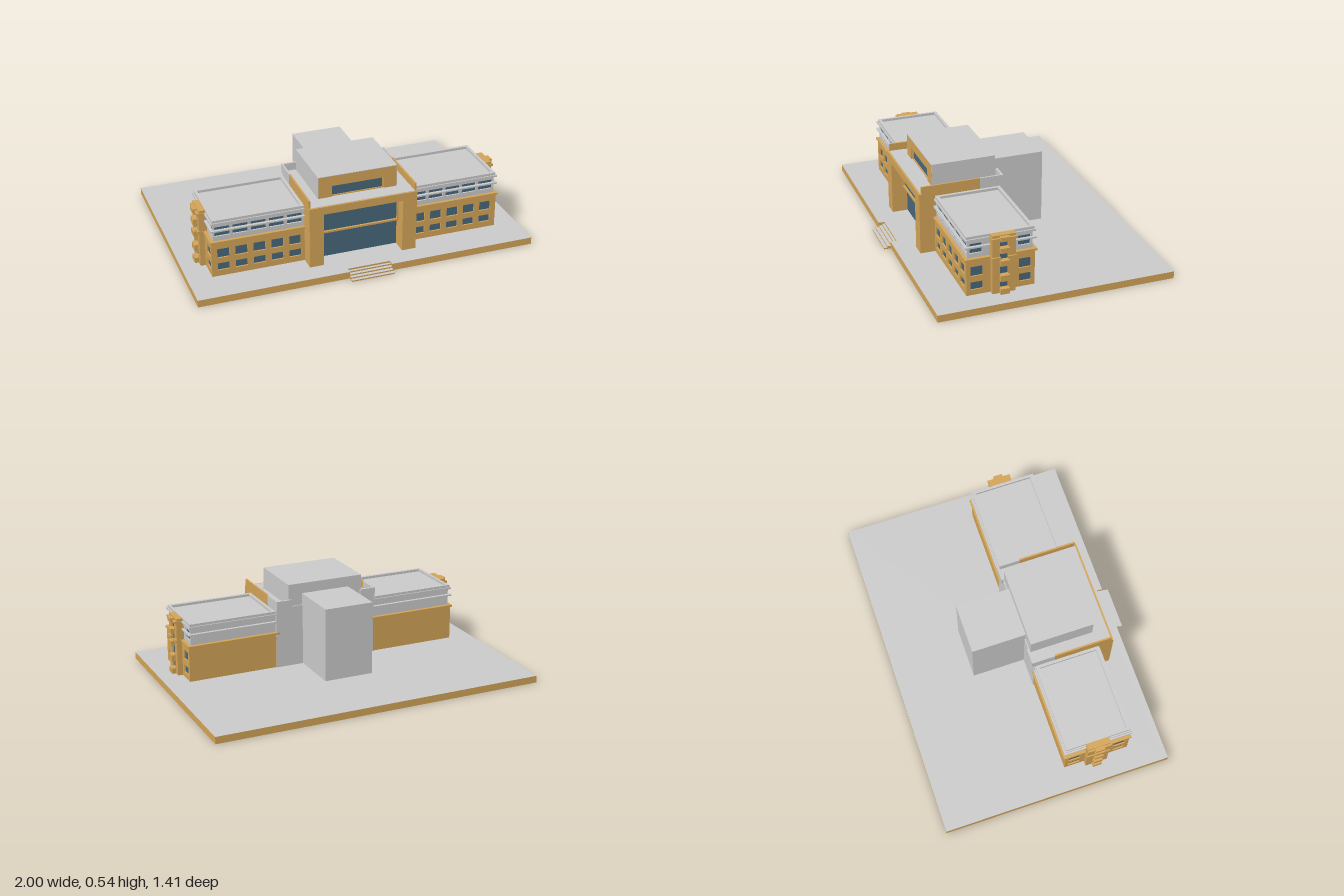
import * as THREE from 'three';

const grey = new THREE.MeshStandardMaterial({ color: 0xcccccc });
const brown = new THREE.MeshStandardMaterial({ color: 0xd4a558 });
const glass = new THREE.MeshStandardMaterial({ color: 0x48687c });

// Box given by its limits on each axis
function box(parent, name, mat, x0, x1, y0, y1, z0, z1) {
  const mesh = new THREE.Mesh(new THREE.BoxGeometry(x1 - x0, y1 - y0, z1 - z0), mat);
  mesh.position.set((x0 + x1) / 2, (y0 + y1) / 2, (z0 + z1) / 2);
  mesh.name = name;
  parent.add(mesh);
  return mesh;
}

function rectPoints([x0, x1, y0, y1]) {
  return [[x0, y0], [x1, y0], [x1, y1], [x0, y1]].map(p => new THREE.Vector2(...p));
}

// Flat panel with rectangular holes, extruded along z
function panel(parent, name, mat, outline, holes, depth) {
  const shape = new THREE.Shape(rectPoints(outline));
  for (const h of holes) shape.holes.push(new THREE.Path(rectPoints(h)));
  const mesh = new THREE.Mesh(new THREE.ExtrudeGeometry(shape, { depth, bevelEnabled: false }), mat);
  mesh.name = name;
  parent.add(mesh);
  return mesh;
}

// Faces: +x, -x, top, bottom, +z, -z
const slabFaces = [brown, brown, grey, brown, brown, brown];
const G = 0.042; // ground level on the plinth

function buildPlinth(root) {
  const plinth = new THREE.Group();
  plinth.name = 'plinth';
  root.add(plinth);
  box(plinth, 'slab', slabFaces, -1, 1, 0, G, -0.71, 0.63);
  box(plinth, 'slabFrontLeft', slabFaces, 0.127, 1, 0, G, 0.63, 0.665);
  box(plinth, 'slabFrontRight', slabFaces, -1, -0.127, 0, G, 0.63, 0.665);
  // Entrance steps, cut into the front edge
  for (let i = 0; i < 4; i++)
    box(plinth, 'step', slabFaces, -0.127, 0.127, 0, 0.008 * (i + 1), 0.63, 0.705 - i * 0.02);
}

// One wing on the +x side
function buildWing(side) {
  const wing = new THREE.Group();
  wing.name = side + 'Wing';
  box(wing, 'lowerStoreys', brown, 0.3, 0.85, G, 0.25, 0.065, 0.445);
  box(wing, 'upperStorey', grey, 0.3, 0.835, 0.25, 0.375, 0.075, 0.435);
  box(wing, 'stringCourse', brown, 0.3, 0.866, 0.249, 0.261, 0.053, 0.465);

  // Front window walls with glass set behind the openings
  const low = [], high = [];
  for (let i = 0; i < 5; i++) {
    const x = 0.376 + i * 0.104;
    low.push([x - 0.035, x + 0.035, 0.078, 0.122], [x - 0.035, x + 0.035, 0.156, 0.212]);
    high.push([x - 0.044, x + 0.044, 0.288, 0.345]);
  }
  panel(wing, 'lowerFrontWall', brown, [0.32, 0.86, G, 0.25], low, 0.01).position.z = 0.447;
  panel(wing, 'upperFrontWall', grey, [0.32, 0.845, 0.26, 0.375], high, 0.01).position.z = 0.437;
  box(wing, 'lowerFrontGlass', glass, 0.33, 0.84, 0.07, 0.22, 0.44, 0.448);
  box(wing, 'upperFrontGlass', glass, 0.325, 0.84, 0.28, 0.35, 0.43, 0.438);

  // End wall windows: the panel's own x runs along -z
  const endLow = [], endHigh = [];
  for (const z of [0.398, 0.122]) {
    const w = [-z - 0.035, -z + 0.035];
    endLow.push([...w, 0.074, 0.12], [...w, 0.156, 0.213]);
    endHigh.push([...w, 0.286, 0.344]);
  }
  const ends = [
    [panel(wing, 'lowerEndWall', brown, [-0.457, -0.065, G, 0.25], endLow, 0.01), 0.85],
    [panel(wing, 'upperEndWall', grey, [-0.447, -0.075, 0.26, 0.375], endHigh, 0.01), 0.835],
  ];
  for (const [wall, x] of ends) {
    wall.rotation.y = Math.PI / 2;
    wall.position.x = x;
  }
  for (const [z0, z1] of [[0.36, 0.436], [0.084, 0.16]]) {
    box(wing, 'lowerEndGlass', glass, 0.84, 0.852, 0.07, 0.22, z0, z1);
    box(wing, 'upperEndGlass', glass, 0.825, 0.837, 0.28, 0.35, z0, z1);
  }

  // Sunshade, cornice and roof parapet
  box(wing, 'frontSunshade', grey, 0.32, 0.86, 0.321, 0.33, 0.445, 0.463);
  box(wing, 'backSunshade', grey, 0.32, 0.86, 0.321, 0.33, 0.056, 0.076);
  box(wing, 'endSunshade', grey, 0.843, 0.86, 0.321, 0.33, 0.056, 0.463);
  box(wing, 'cornice', grey, 0.31, 0.858, 0.364, 0.375, 0.06, 0.46);
  const parapet = panel(wing, 'parapet', grey, [0.32, 0.85, -0.453, -0.067],
    [[0.338, 0.834, -0.433, -0.085]], 0.016);
  parapet.rotation.x = -Math.PI / 2;
  parapet.position.y = 0.374;

  // Stair tower on the end wall
  const tower = new THREE.Group();
  tower.name = 'stairTower';
  wing.add(tower);
  for (const [z0, z1] of [[0.187, 0.23], [0.276, 0.32]]) {
    box(tower, 'pier', brown, 0.84, 0.89, G, 0.368, z0, z1);
    box(tower, 'pierBand', brown, 0.84, 0.898, 0.245, 0.262, z0 - 0.002, z1 + 0.002);
  }
  box(tower, 'stairGlass', glass, 0.84, 0.88, G, 0.37, 0.23, 0.276);
  for (const [y0, y1] of [[G, 0.074], [0.12, 0.156], [0.213, 0.245], [0.29, 0.32]])
    box(tower, 'spandrel', brown, 0.85, 0.912, y0, y1, 0.226, 0.28);
  box(tower, 'cap', brown, 0.845, 0.9, 0.362, 0.376, 0.183, 0.324);
  box(tower, 'capTop', brown, 0.845, 0.888, 0.376, 0.39, 0.187, 0.32);
  box(tower, 'capKey', brown, 0.85, 0.912, 0.36, 0.385, 0.226, 0.28);
  return wing;
}

function buildCentre(root) {
  const centre = new THREE.Group();
  centre.name = 'centralBlock';
  root.add(centre);
  box(centre, 'rearBody', grey, -0.318, 0.318, G, 0.41, 0.058, 0.186);
  box(centre, 'frontBody', [brown, brown, grey, brown, brown, grey], -0.32, 0.32, G, 0.41, 0.185, 0.447);

  // Portal: two piers, lintel and roof over the recess
  for (const s of [-1, 1])
    box(centre, 'portalPier', brown, s * 0.278 - 0.042, s * 0.278 + 0.042, G, 0.41, 0.447, 0.545);
  box(centre, 'lintel', slabFaces, -0.236, 0.236, 0.364, 0.406, 0.447, 0.535);
  box(centre, 'lintelEdge', brown, -0.236, 0.236, 0.364, 0.41, 0.535, 0.545);
  box(centre, 'portalRoof', grey, -0.31, 0.31, 0.405, 0.411, 0.44, 0.534);

  // Entrance glazing with the framed window box above it
  box(centre, 'entranceGlass', glass, -0.236, 0.236, G, 0.212, 0.446, 0.453);
  panel(centre, 'greatWindowFrame', brown, [-0.236, 0.236, 0.205, 0.365],
    [[-0.224, 0.228, 0.216, 0.357]], 0.033).position.z = 0.447;
  box(centre, 'greatWindowGlass', glass, -0.226, 0.23, 0.214, 0.36, 0.447, 0.468);

  // Roof parapets
  for (const s of [-1, 1]) {
    const x = s * 0.315;
    box(centre, 'frontParapet', brown, x - 0.005, x + 0.005, 0.405, 0.455, 0.185, 0.532);
    box(centre, 'rearParapet', grey, x - 0.005, x + 0.005, 0.4, 0.455, 0.045, 0.185);
    box(centre, 'backParapet', grey, s * 0.27 - 0.045, s * 0.27 + 0.045, 0.4, 0.455, 0.045, 0.058);
  }

  // Penthouse with a brown front and a long window
  box(centre, 'penthouse', grey, -0.236, 0.236, 0.4, 0.542, 0.065, 0.425);
  panel(centre, 'penthouseEdge', grey, [-0.236, 0.236, 0.4, 0.542],
    [[-0.232, 0.232, 0.404, 0.538]], 0.0195).position.z = 0.425;
  panel(centre, 'penthouseFront', brown, [-0.233, 0.233, 0.403, 0.539],
    [[-0.155, 0.158, 0.41, 0.483]], 0.02).position.z = 0.425;
  panel(centre, 'penthouseWindowFrame', brown, [-0.157, 0.16, 0.408, 0.485],
    [[-0.15, 0.153, 0.415, 0.473]], 0.012).position.z = 0.424;
  box(centre, 'penthouseGlass', glass, -0.154, 0.157, 0.411, 0.48, 0.42, 0.429);

  // Plain tower at the back
  box(centre, 'rearTower', grey, -0.15, 0.15, G, 0.48, -0.26, 0.066);
}

export function createModel() {
  const root = new THREE.Group();
  root.name = 'building';
  buildPlinth(root);
  buildCentre(root);
  const rightWing = buildWing('right');
  rightWing.scale.x = -1;
  root.add(buildWing('left'), rightWing);
  return root;
}
